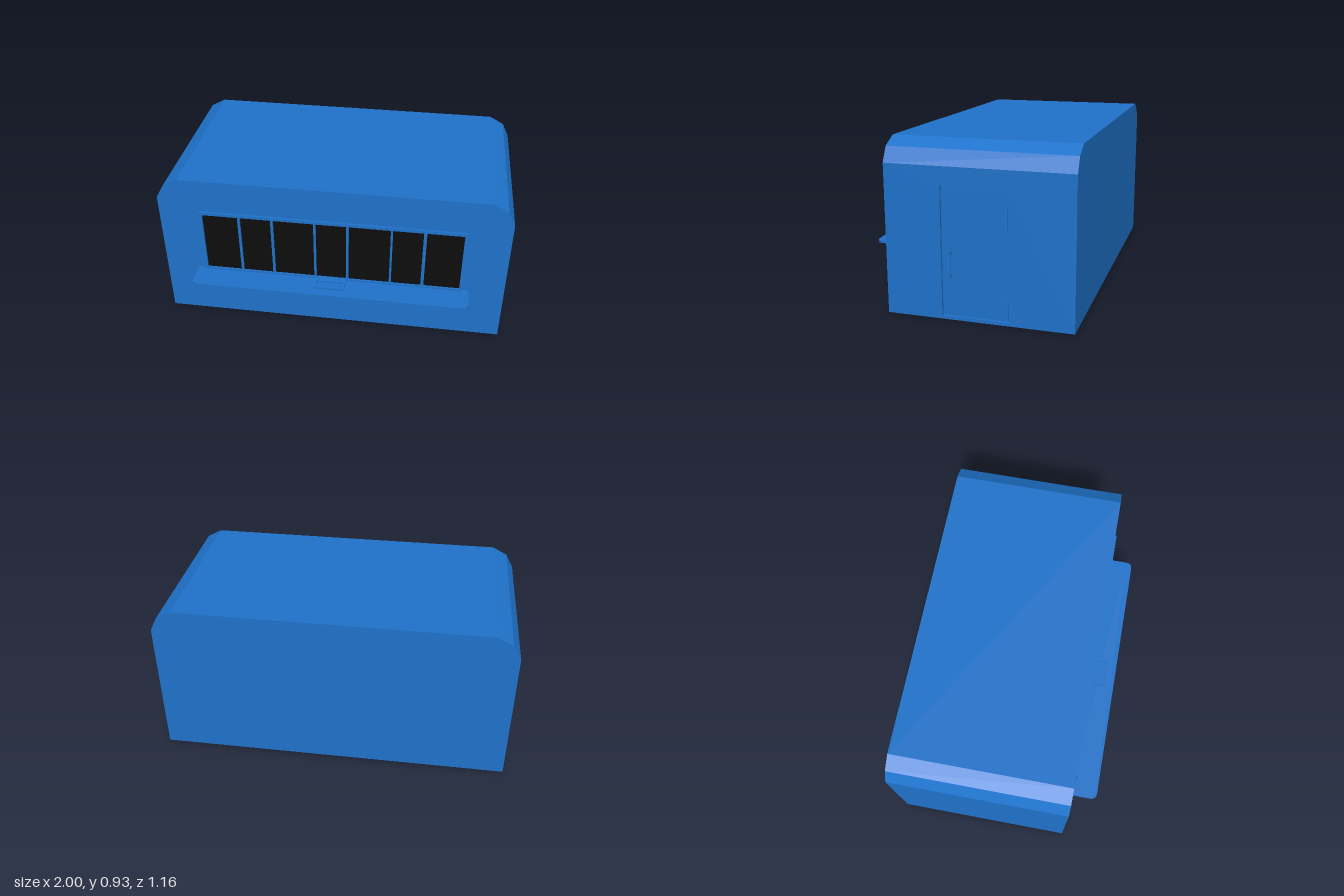
import * as THREE from 'three';

const BLUE = new THREE.MeshStandardMaterial({ color: 0x1f73cc, flatShading: true });
const BLACK = new THREE.MeshStandardMaterial({ color: 0x0d0d0d, flatShading: true });

const FRONT = 0.42, BACK = -0.58, WALL = 0.015;
const LEFT = 0.99, RIGHT = -1;

const polygon = (points) => new THREE.Shape(points.map(([x, y]) => new THREE.Vector2(x, y)));
const rectPoints = (x0, x1, y0, y1) => [[x0, y0], [x1, y0], [x1, y1], [x0, y1]];

function extrude(shape, depth) {
  return new THREE.ExtrudeGeometry(shape, { depth, bevelEnabled: false, curveSegments: 5 });
}

function addMesh(parent, name, geometry, material = BLUE) {
  const mesh = new THREE.Mesh(geometry, material);
  mesh.name = name;
  parent.add(mesh);
  return mesh;
}

// Box given by its limits on each axis
function addBox(parent, name, [x0, x1], [y0, y1], [z0, z1], material) {
  const mesh = addMesh(parent, name, new THREE.BoxGeometry(x1 - x0, y1 - y0, z1 - z0), material);
  mesh.position.set((x0 + x1) / 2, (y0 + y1) / 2, (z0 + z1) / 2);
  return mesh;
}

// Cabin with chamfered roof edges; the door wall is a separate layer with an opening
function addCabin(group) {
  const inner = LEFT - WALL;
  const section = polygon([
    [RIGHT, 0], [inner, 0], [inner, 0.8], [LEFT, 0.8], [0.95, 0.88], [0.865, 0.925],
    [-0.87, 0.925], [-0.955, 0.88], [RIGHT, 0.8],
  ]);
  addMesh(group, 'cabinShell', extrude(section, FRONT - BACK)).position.z = BACK;

  const wall = polygon(rectPoints(-FRONT, -BACK, 0, 0.8));
  wall.holes.push(polygon(rectPoints(-0.117, 0.245, 0.018, 0.703)));
  const wallMesh = addMesh(group, 'doorWall', extrude(wall, WALL).rotateY(Math.PI / 2));
  wallMesh.position.x = inner;
}

// Recessed door with two hinges and a pull handle
function addDoor(group) {
  const door = new THREE.Group();
  door.name = 'door';
  const base = LEFT - WALL;
  addBox(door, 'doorLeaf', [base - 0.005, base + 0.003], [0.022, 0.699], [-0.241, 0.113]);
  for (const [y0, y1] of [[0.03, 0.14], [0.5, 0.61]]) {
    addBox(door, 'hingeLeaf', [base, LEFT - 0.004], [y0, y1], [-0.245, -0.235]);
    addBox(door, 'hingeKnuckle', [base, LEFT], [y0, y1], [-0.237, -0.224]);
  }
  addBox(door, 'handleBar', [0.993, 1], [0.225, 0.372], [0.065, 0.081]);
  for (const y of [0.235, 0.352]) {
    addBox(door, 'handleFoot', [base, 0.994], [y, y + 0.012], [0.062, 0.084]);
  }
  group.add(door);
}

// Long front window: one frame with seven panes
function addWindow(group) {
  const panes = [
    [-0.745, -0.54], [-0.525, -0.35], [-0.335, -0.105], [-0.092, 0.08],
    [0.095, 0.33], [0.342, 0.512], [0.53, 0.735],
  ];
  const frame = polygon(rectPoints(-0.765, 0.75, 0.32, 0.727));
  for (const [x0, x1] of panes) {
    frame.holes.push(polygon(rectPoints(x0, x1, 0.335, 0.71)));
    addBox(group, 'windowPane', [x0, x1], [0.335, 0.71], [FRONT - 0.004, FRONT + 0.004], BLACK);
  }
  addMesh(group, 'windowFrame', extrude(frame, 0.015)).position.z = FRONT;
}

// Serving shelf with rounded outer corners, a coin tray and three brackets
function addCounter(group) {
  const x0 = -0.805, x1 = 0.79, z1 = 0.58, r = 0.04;
  const top = new THREE.Shape();
  top.moveTo(x0, FRONT);
  top.lineTo(x1, FRONT);
  top.lineTo(x1, z1 - r);
  top.quadraticCurveTo(x1, z1, x1 - r, z1);
  top.lineTo(x0 + r, z1);
  top.quadraticCurveTo(x0, z1, x0, z1 - r);
  addMesh(group, 'shelf', extrude(top, 0.014).rotateX(Math.PI / 2)).position.y = 0.322;

  const tray = polygon(rectPoints(-0.097, 0.08, 0.435, 0.528));
  tray.holes.push(polygon(rectPoints(-0.08, 0.065, 0.467, 0.513)));
  addMesh(group, 'coinTray', extrude(tray, 0.012).rotateX(Math.PI / 2)).position.y = 0.333;
  addBox(group, 'coinTrayFloor', [-0.073, 0.058], [0.318, 0.325], [0.474, 0.506]);

  const arm = polygon([
    [0.42, 0.231], [0.449, 0.231], [0.535, 0.295], [0.575, 0.295], [0.575, 0.308],
    [0.53, 0.308], [0.445, 0.244], [0.42, 0.244],
  ]);
  const armGeometry = extrude(arm, 0.014).rotateY(-Math.PI / 2);
  for (const x of [-0.76, -0.007, 0.745]) {
    addMesh(group, 'shelfBracket', armGeometry).position.x = x + 0.007;
  }
}

export function createModel() {
  const group = new THREE.Group();
  group.name = 'kiosk';
  addCabin(group);
  addDoor(group);
  addWindow(group);
  addCounter(group);
  return group;
}
